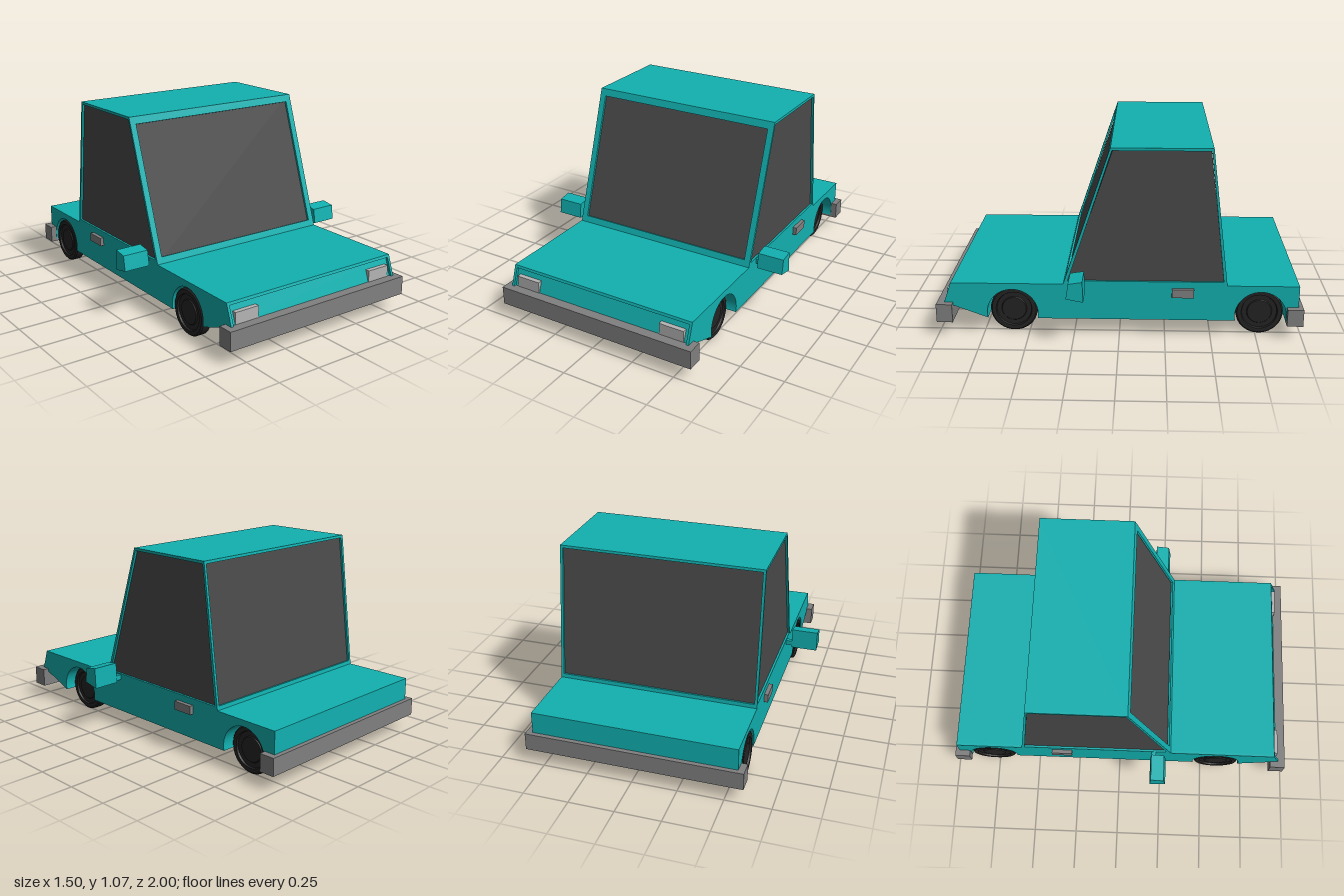
import * as THREE from 'three';

const mat = (color) => new THREE.MeshStandardMaterial({ color, flatShading: true });

export function createModel() {
  const car = new THREE.Group();
  car.name = 'car';
  const paint = mat(0x12b0b0), glass = mat(0x4a4a4a), bumperGrey = mat(0x808080);
  const lampGrey = mat(0xb5b5b5), rubber = new THREE.MeshStandardMaterial({ color: 0x242424 });

  const add = (name, geometry, material) => {
    const mesh = new THREE.Mesh(geometry, material);
    mesh.name = name;
    car.add(mesh);
    return mesh;
  };
  // Box given by its limits on each axis
  const box = (name, [x0, x1], [y0, y1], [z0, z1], material) =>
    add(name, new THREE.BoxGeometry(x1 - x0, y1 - y0, z1 - z0)
      .translate((x0 + x1) / 2, (y0 + y1) / 2, (z0 + z1) / 2), material);
  const polygon = (pts) => new THREE.Shape(pts.map(([a, b]) => new THREE.Vector2(a, b)));
  // Side outline in (z, y), extruded from x0 to x1
  const slab = (name, shape, x0, x1, material) =>
    add(name, new THREE.ExtrudeGeometry(shape, { depth: x1 - x0, bevelEnabled: false, curveSegments: 24 })
      .rotateY(-Math.PI / 2).translate(x1, 0, 0), material);

  const W = 0.565, T = 0.012;
  const wheelY = 0.13, axles = [0.585, -0.77];

  // Lower body with wheel tunnels; the nose is set back between the cheeks
  const bodyShape = (nose) => {
    const s = new THREE.Shape();
    s.moveTo(nose[0][0], nose[0][1]);
    for (const z of axles) s.absarc(z, wheelY, 0.14, -0.216, Math.PI + 0.216, false);
    s.lineTo(-0.975, 0.1);
    s.lineTo(-0.975, 0.305);
    nose.slice(1).reverse().forEach(([z, y]) => s.lineTo(z, y));
    return s;
  };
  const cheek = bodyShape([[0.96, 0.1], [0.96, 0.19], [0.92, 0.305]]);
  const core = bodyShape([[0.945, 0.1], [0.945, 0.19], [0.91, 0.29], [0.925, 0.29], [0.92, 0.305]]);
  slab('body', core, -0.55, 0.55, paint);
  slab('bodySideLeft', cheek, 0.55, W, paint);
  slab('bodySideRight', cheek, -W, -0.55, paint);

  // Cabin: dark glass core, roof and four window frames
  slab('windowGlass', polygon([[0.29, 0.3], [0.032, 1.06], [-0.477, 1.06], [-0.572, 0.3]]),
    -W + T, W - T, glass);
  slab('roof', polygon([[0.049, 1.058], [0.045, 1.07], [-0.49, 1.07], [-0.4885, 1.058]]),
    -W + T, W - T, paint);
  const sideFrame = polygon([[0.305, 0.305], [0.045, 1.07], [-0.49, 1.07], [-0.585, 0.305]]);
  sideFrame.holes.push(polygon([[0.28, 0.325], [0.037, 1.055], [-0.48, 1.055], [-0.565, 0.325]]));
  slab('sideWindowFrameLeft', sideFrame, W - T, W, paint);
  slab('sideWindowFrameRight', sideFrame, -W, -W + T, paint);

  // Sloping frame: run is the horizontal lean over the cabin height
  const slopedFrame = (name, run, z, turn, halfHole, low, high) => {
    const length = Math.hypot(run, 0.765), w = W - T;
    const shape = polygon([[-w, 0], [w, 0], [w, length], [-w, length]]);
    shape.holes.push(polygon([[-halfHole, low], [-halfHole, length - high],
      [halfHole, length - high], [halfHole, low]]));
    add(name, new THREE.ExtrudeGeometry(shape, { depth: T, bevelEnabled: false })
      .translate(0, 0, -T).rotateX(-Math.atan2(run, 0.765)).rotateY(turn)
      .translate(0, 0.305, z), paint);
  };
  slopedFrame('windscreenFrame', 0.26, 0.305, 0, 0.53, 0.037, 0.042);
  slopedFrame('rearWindowFrame', 0.095, -0.585, Math.PI, 0.55, 0.022, 0.015);

  // Bumpers
  box('frontBumper', [-0.6, 0.6], [0.085, 0.19], [0.912, 1], bumperGrey);
  box('rearBumper', [-0.6, 0.6], [0.085, 0.182], [-1, -0.912], bumperGrey);

  // Wheel with a stepped outer face pointing to +x
  const tyreProfile = [[0, 0], [0.122, 0], [0.13, 0.006], [0.13, 0.052], [0.122, 0.06],
    [0.1, 0.06], [0.096, 0.05], [0.07, 0.05], [0.066, 0.056], [0, 0.056]];
  // Doubled points keep the steps crisp
  const tyre = new THREE.LatheGeometry(
    tyreProfile.flatMap(([r, h]) => [new THREE.Vector2(r, h), new THREE.Vector2(r, h)]), 40)
    .rotateZ(-Math.PI / 2).translate(-0.03, 0, 0);
  rubber.flatShading = true;

  const mirrorShape = polygon([[0.187, 0.397], [0.183, 0.282], [0.275, 0.3], [0.262, 0.385]]);
  for (const side of [1, -1]) {
    const label = side > 0 ? 'Left' : 'Right';
    const span = (a, b) => (side > 0 ? [a, b] : [-b, -a]);
    box('headlight' + label, span(0.385, 0.53), [0.185, 0.255], [0.9, 0.948], lampGrey);
    box('doorHandle' + label, span(0.56, 0.587), [0.24, 0.288], [-0.405, -0.285], bumperGrey);
    box('mirrorArm' + label, span(0.55, 0.605), [0.29, 0.318], [0.19, 0.216], paint);
    slab('mirror' + label, mirrorShape, ...span(0.6, 0.75), paint);
    axles.forEach((z, i) => {
      const wheel = add((i ? 'rear' : 'front') + 'Wheel' + label, tyre, rubber);
      wheel.position.set(side > 0 ? 0.483 : -0.532, wheelY, z);
      if (side < 0) wheel.rotation.y = Math.PI;
    });
  }
  return car;
}
